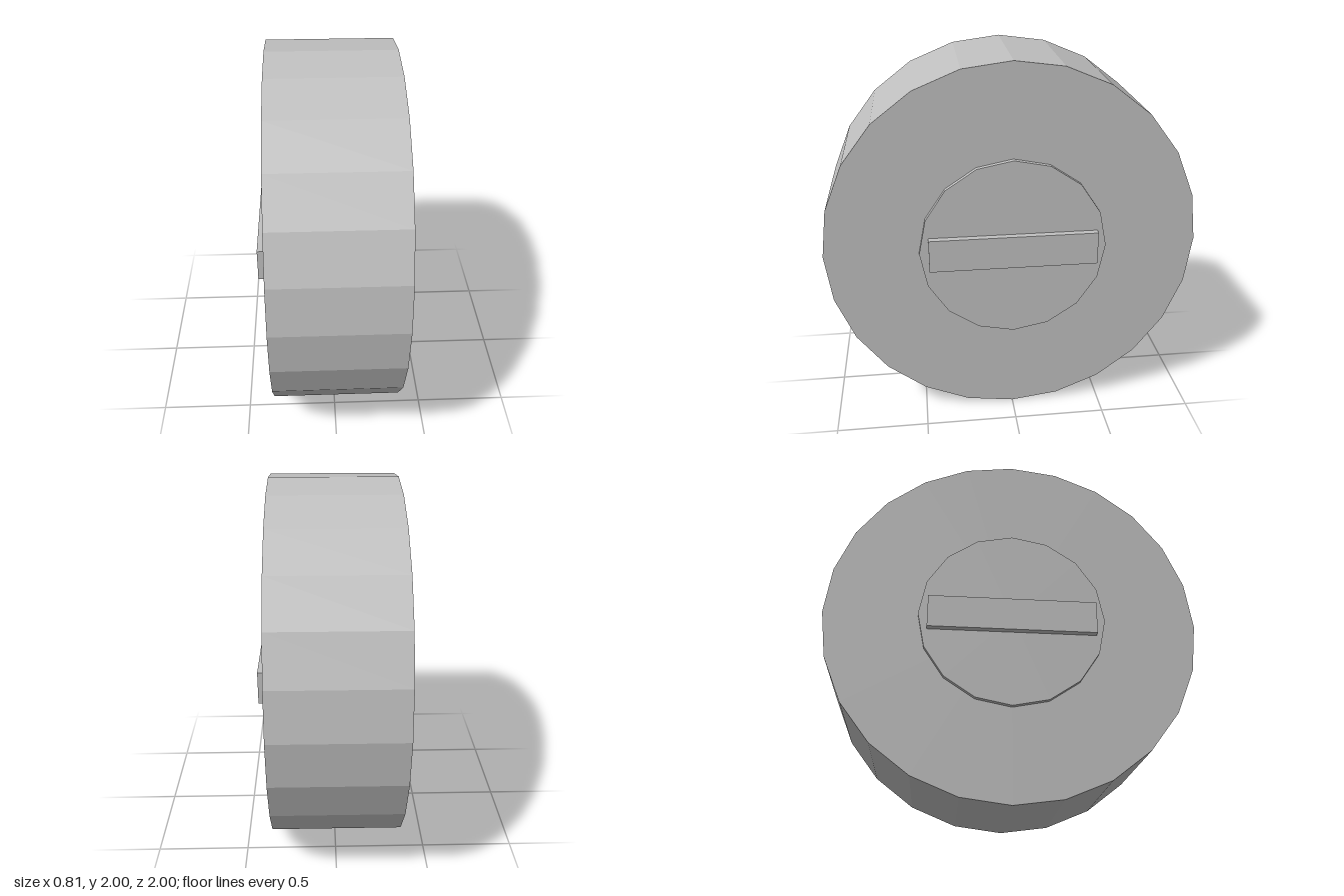
import * as THREE from 'three';

export function createModel() {
  const group = new THREE.Group();
  const grey = new THREE.MeshStandardMaterial({ color: 0xc0c0c0, flatShading: true });
  grey.name = 'light grey';

  const add = (name, geometry, x = 0) => {
    const mesh = new THREE.Mesh(geometry, grey);
    mesh.name = name;
    mesh.position.set(x, 1, 0);
    group.add(mesh);
  };

  // Disc lying along the x axis
  const disc = (radius, width, sides) =>
    new THREE.CylinderGeometry(radius, radius, width, sides).rotateZ(Math.PI / 2);

  // Wide tyre
  add('tyre', disc(1, 0.68, 24));

  // Raised hub cap and crossbar on each side
  for (const [label, s] of [['left', 1], ['right', -1]]) {
    add(label + 'HubCap', disc(0.5, 0.05, 16), s * 0.343);
    add(label + 'HubBar', new THREE.BoxGeometry(0.05, 0.18, 0.9), s * 0.38);
  }
  return group;
}
